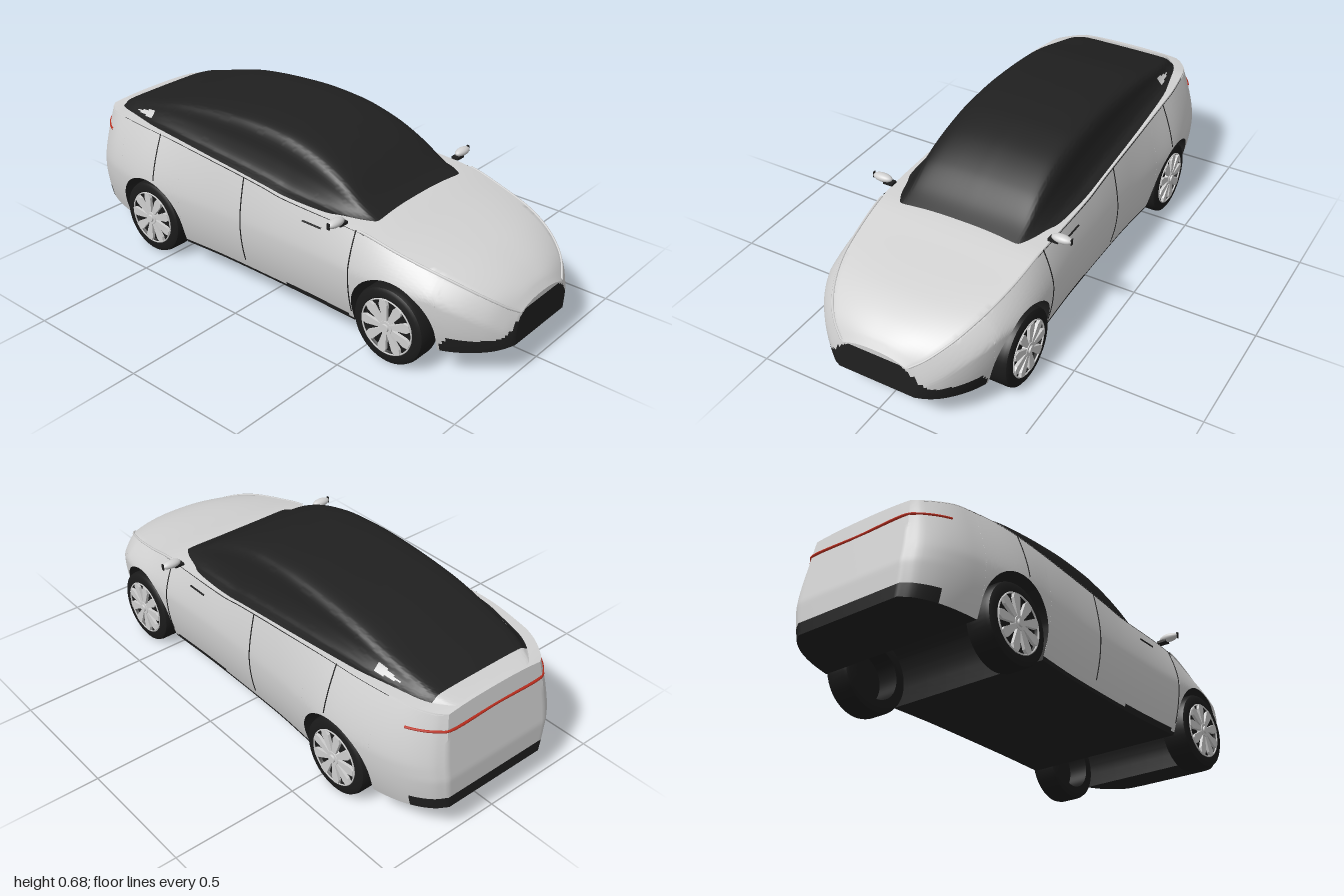
import * as THREE from 'three';
import { toCreasedNormals } from 'three/addons/utils/BufferGeometryUtils.js';

const mat = (name, color, side = THREE.FrontSide) => {
  const m = new THREE.MeshStandardMaterial({ color, side });
  m.name = name;
  return m;
};

// Smooth function through [position, value] pairs
function curve(p) {
  const slope = (i) => {
    const a = p[Math.max(i - 1, 0)], b = p[Math.min(i + 1, p.length - 1)];
    return (b[1] - a[1]) / (b[0] - a[0]);
  };
  return (x) => {
    let i = 0;
    while (i < p.length - 2 && x > p[i + 1][0]) i++;
    const h = p[i + 1][0] - p[i][0];
    const t = THREE.MathUtils.clamp((x - p[i][0]) / h, 0, 1), t2 = t * t, t3 = t2 * t;
    return p[i][1] * (2 * t3 - 3 * t2 + 1) + p[i + 1][1] * (3 * t2 - 2 * t3)
      + h * (slope(i) * (t3 - 2 * t2 + t) + slope(i + 1) * (t3 - t2));
  };
}

// Body dimensions along z
const maxWidth = curve([[-1, .24], [-.97, .285], [-.9, .335], [-.8, .37], [-.6, .4], [-.4, .385], [-.2, .372],
  [.2, .37], [.6, .382], [.75, .36], [.85, .32], [.93, .26], [.98, .2], [1, .16]]);
const shoulderX = curve([[-1, .22], [-.97, .25], [-.9, .285], [-.8, .31], [-.6, .335], [0, .34], [.45, .335],
  [.7, .31], [.85, .265], [.95, .2], [1, .13]]);
const shoulderY = curve([[-1, .5], [-.9, .51], [-.8, .52], [-.55, .522], [-.2, .495], [0, .475], [.1, .462],
  [.45, .45], [.6, .42], [.8, .37], [.93, .31], [1, .25]]);
const centreY = curve([[-1, .51], [-.9, .515], [-.8, .522], [-.55, .524], [-.2, .497], [0, .477], [.3, .466],
  [.46, .463], [.6, .437], [.8, .395], [.9, .358], [.97, .312], [1, .275]]);
const floorY = curve([[-1, .125], [-.95, .12], [-.76, .105], [-.41, .09], [.45, .085], [.8, .1], [.95, .115], [1, .13]]);
const roofY = curve([[-1, .505], [-.9, .536], [-.7, .59], [-.5, .642], [-.2, .674], [0, .668], [.1, .65],
  [.2, .618], [.3, .567], [.4, .495], [.48, .452]]);

const WHEELS = [.62, -.585], ARCH_R = .172, ARCH_Y = .155;
const bottomY = (z) => {
  for (const c of WHEELS) {
    const d = ARCH_R ** 2 - (z - c) ** 2;
    if (d > -1e-6) return ARCH_Y + Math.sqrt(Math.max(d, 0));
  }
  return floorY(z);
};
const sideX = (y, z) => {
  const ys = shoulderY(z), ym = Math.min(.3, ys - .08), w = maxWidth(z);
  if (y > ym) return w - (w - shoulderX(z)) * Math.pow(Math.min((y - ym) / (ys - ym), 1), 1.5);
  return w * (1 - .09 * ((ym - y) / (ym - .1)) ** 2);
};
// The tail leans forward towards its top
const lean = (y, z) => z + Math.max(0, y - .25) * .16 * THREE.MathUtils.smoothstep(-z, .8, 1);

// Skin over rows of points; pick gives the material index of each face
function loft(rows, closed, pick) {
  const n = rows[0].length, pos = rows.flat().flatMap((p) => [p.x, p.y, p.z]);
  const lists = [[], []], all = rows.flat(), tri = new THREE.Triangle();
  for (let i = 0; i < rows.length - 1; i++) {
    for (let j = 0; j < (closed ? n : n - 1); j++) {
      const k = (j + 1) % n, a = i * n + j, b = i * n + k, c = b + n, d = a + n;
      const mid = all[a].clone().add(all[b]).add(all[c]).add(all[d]).multiplyScalar(.25);
      const list = lists[pick(mid, j)];
      for (const t of [[a, d, c], [a, c, b]]) {
        tri.set(all[t[0]], all[t[1]], all[t[2]]);
        if (tri.getArea() > 1e-10) list.push(...t);
      }
    }
  }
  const g = new THREE.BufferGeometry();
  g.setAttribute('position', new THREE.Float32BufferAttribute(pos, 3));
  g.setIndex(lists[0].concat(lists[1]));
  g.addGroup(0, lists[0].length, 0);
  g.addGroup(lists[0].length, lists[1].length, 1);
  return toCreasedNormals(g, .6);
}

const mirrorRow = (half) => half.concat(half.slice(0, -1).reverse().map((p) => new THREE.Vector3(-p.x, p.y, p.z)));

const NB = 4, NS = 32, NT = 12;
function bodyRow(z, scale = 1) {
  const half = [], yb = bottomY(z), ys = shoulderY(z), xs = shoulderX(z), xb = sideX(yb, z);
  const add = (x, y) => half.push(new THREE.Vector3(x * scale, y, lean(y, z)));
  for (let i = 0; i < NB; i++) add(xb * i / NB, yb);
  for (let i = 0; i < NS; i++) { const y = yb + (ys - yb) * i / NS; add(sideX(y, z), y); }
  for (let i = 0; i <= NT; i++) {
    const u = 1 - i / NT;
    add(xs * u, ys + (centreY(z) - ys) * (1 - u ** 2.5));
  }
  return mirrorRow(half).slice(0, -1);
}

function bodyGeometry() {
  const zs = [];
  for (let i = 0; i <= 160; i++) zs.push(1 - i / 80);
  for (const c of WHEELS) {
    zs.push(c + ARCH_R + 1e-4, c - ARCH_R - 1e-4);
    for (let i = 0; i <= 24; i++) zs.push(c + ARCH_R * Math.cos(Math.PI * i / 24));
  }
  zs.push(.994, .982, -.994, -.982);
  zs.sort((a, b) => b - a);
  const cap = [...Array(16).keys()].map((i) => i / 16);
  const rows = [...cap.map((t) => bodyRow(1, t)), ...zs.map((z) => bodyRow(z)),
    ...cap.reverse().map((t) => bodyRow(-1, t))];
  const n = rows[0].length;
  return loft(rows, true, (p, j) => {
    const ax = Math.abs(p.x);
    if (j < NB || j >= n - NB || p.y < .102) return 1;
    if (p.z < -.9 && p.y < .17) return 1;
    const grille = .165 + .088 * (1 - THREE.MathUtils.smoothstep(ax, .1, .225));
    return p.z > .8 && ax < .32 && p.y < grille ? 1 : 0;
  });
}

function cabinGeometry() {
  const section = new THREE.SplineCurve([[1, 0], [.93, .05], [.85, .13], [.78, .42], [.725, .78], [.63, .92], [.4, .98], [0, 1]]
    .map(([x, y]) => new THREE.Vector2(x, y))).getPoints(35);
  const rows = [];
  for (let i = 0; i <= 140; i++) {
    const z = .48 - 1.47 * i / 140, base = shoulderY(z) - .005, h = roofY(z) - base, w = shoulderX(z) + .004;
    rows.push(mirrorRow(section.map((s) => {
      const y = base + h * s.y;
      return new THREE.Vector3(w * s.x, y, lean(y, z));
    })));
  }
  return loft(rows, false, (p) => {
    const ax = Math.abs(p.x);
    if (p.z < -.89 || (p.z < -.78 && ax > .275)) return 0;
    return p.z < -.66 && ax > .255 && p.y > .532 && p.y < .572 ? 0 : 1;
  });
}

export function createModel() {
  const car = new THREE.Group();
  car.name = 'car';
  const silver = mat('silver paint', 0xd2d2d2, THREE.DoubleSide);
  const black = mat('black glass and trim', 0x202020, THREE.DoubleSide);
  const rubber = mat('tyre rubber', 0x1b1b1b, THREE.DoubleSide);
  const alloy = mat('wheel alloy', 0xcfcfcf);
  const red = mat('tail light red', 0xc03020);
  const add = (name, geo, material, parent = car, x = 0, y = 0, z = 0) => {
    const m = new THREE.Mesh(geo, material);
    m.name = name;
    m.position.set(x, y, z);
    parent.add(m);
    return m;
  };
  const line = (name, pts, r, material) => add(name,
    new THREE.TubeGeometry(new THREE.CatmullRomCurve3(pts), pts.length * 3, r, 6), material);
  const onSide = (s, y, z) => new THREE.Vector3(s * sideX(y, z), y, lean(y, z));

  add('body', bodyGeometry(), [silver, black]);
  add('cabin', cabinGeometry(), [silver, black]);

  for (const s of [1, -1]) {
    const side = s > 0 ? 'left' : 'right';
    // Door seams
    for (const [z, y0, y1] of [[.443, .13, .45], [-.09, .13, .48], [-.545, .335, .52]]) {
      const pts = [];
      for (let i = 0; i <= 10; i++) pts.push(onSide(s, y0 + (y1 - y0) * i / 10, z));
      line(side + 'DoorSeam', pts, .0025, black);
    }
    line(side + 'DoorHandle', [.3, .255, .21].map((z) => onSide(s, .41, z)), .004, black);
    // Raised crease along the edge of the bonnet
    const crease = [];
    for (let i = 0; i <= 20; i++) {
      const z = .46 + .535 * i / 20;
      crease.push(new THREE.Vector3(s * shoulderX(z), shoulderY(z), z));
    }
    line(side + 'BonnetCrease', crease, .005, silver);
    // Wing mirror
    add(side + 'Mirror', new THREE.SphereGeometry(1, 24, 16), silver, car, s * .379, .477, .388).scale.set(.041, .016, .02);
    add(side + 'MirrorStem', new THREE.BoxGeometry(.04, .01, .03), black, car, s * .35, .464, .388);
    add(side + 'MirrorTip', new THREE.BoxGeometry(.004, .024, .012), black, car, s * .418, .477, .388);
  }

  // Tail light strip wrapping around the back
  const strip = [-.87, -.9, -.93, -.96, -.985, -1].map((z) => onSide(1, .44, z));
  line('tailLight', [...strip, new THREE.Vector3(0, .44, lean(.44, -1)),
    ...strip.map((p) => new THREE.Vector3(-p.x, p.y, p.z)).reverse()], .005, red);

  // Wheels, built around y with the outer face up
  const tyre = new THREE.LatheGeometry([[.1, -.055], [.135, -.055], [.146, -.048], [.15, -.035], [.15, .035], [.146, .048],
    [.135, .055], [.112, .055], [.108, .045], [.1, .035], [.1, -.055]].map(([x, y]) => new THREE.Vector2(x, y)), 48);
  const petal = new THREE.Shape([[-.007, .02], [.007, .02], [.018, .088], [.012, .106], [-.012, .106], [-.018, .088]]
    .map(([x, y]) => new THREE.Vector2(x, y)));
  const spoke = new THREE.ExtrudeGeometry(petal, { depth: .012, bevelEnabled: false }).rotateX(-Math.PI / 2);
  for (const z of WHEELS) {
    for (const s of [1, -1]) {
      const wheel = new THREE.Group();
      wheel.name = (z > 0 ? 'front' : 'rear') + (s > 0 ? 'Left' : 'Right') + 'Wheel';
      wheel.position.set(s * .325, .15, z);
      wheel.rotation.z = -s * Math.PI / 2;
      car.add(wheel);
      add('tyre', toCreasedNormals(tyre, .6), rubber, wheel);
      add('wheelDisc', new THREE.CylinderGeometry(.104, .104, .01, 40), rubber, wheel, 0, .036);
      for (let i = 0; i < 9; i++) add('spoke', spoke, alloy, wheel, 0, .048).rotation.y = i * Math.PI * 2 / 9;
      add('hub', new THREE.CylinderGeometry(.026, .032, .02, 24), alloy, wheel, 0, .052);
      add('hubCap', new THREE.CylinderGeometry(.014, .016, .008, 20), alloy, wheel, 0, .064);
      add('rimRing', new THREE.TorusGeometry(.107, .003, 6, 48), alloy, wheel, 0, .055).rotation.x = Math.PI / 2;
    }
  }
  return car;
}
